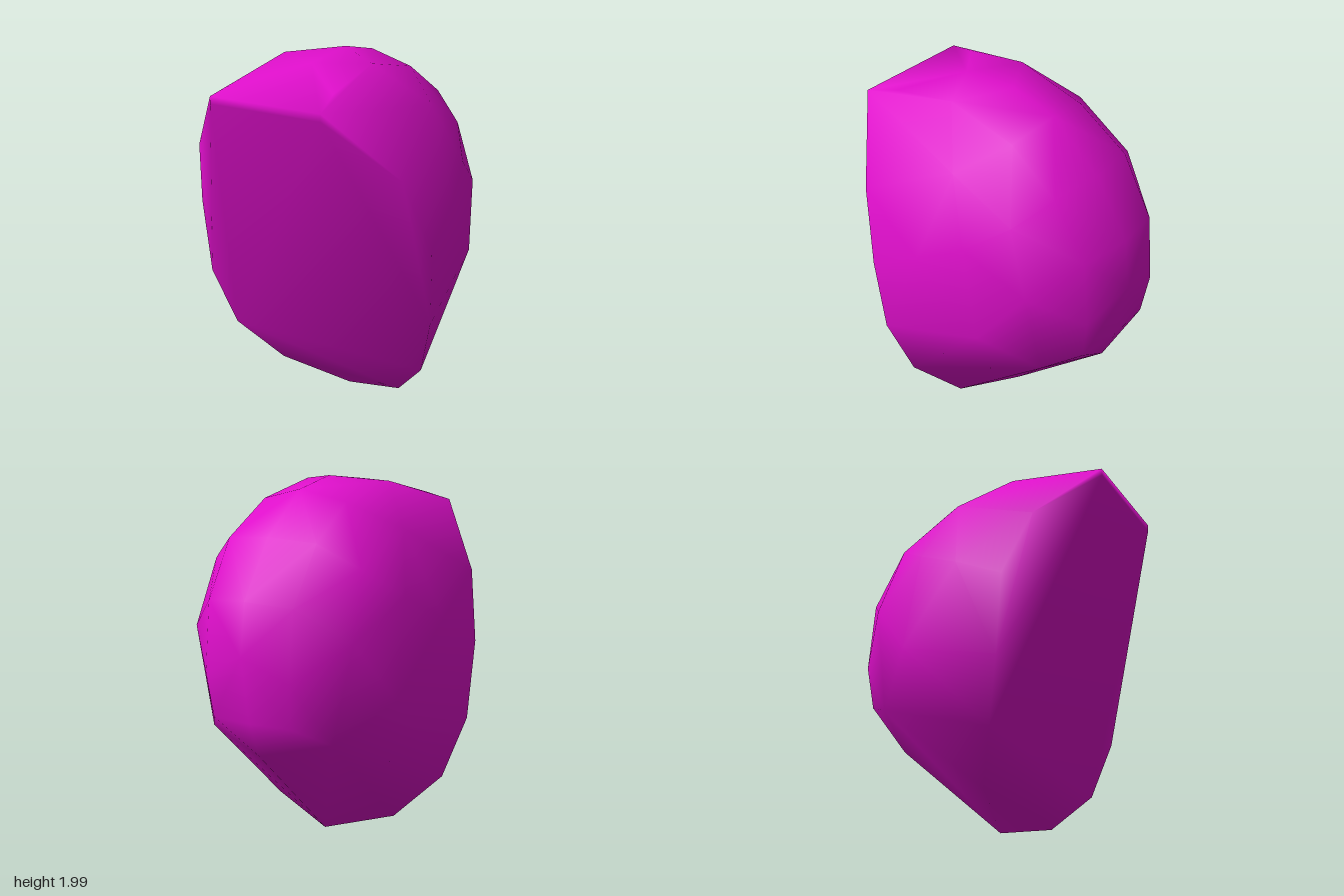
import * as THREE from 'three';
import { ConvexGeometry } from 'three/addons/geometries/ConvexGeometry.js';
import { mergeVertices } from 'three/addons/utils/BufferGeometryUtils.js';

// Cross-section rings of the shell, +x half only: [x, y, z]
const rings = [
  // Centre line, from the front peak over the crown to the chin point
  [[0, 1.97, 0.35], [0, 2.0, 0.02], [0, 1.94, -0.25], [0, 1.71, -0.54], [0, 1.4, -0.74],
    [0, 1.12, -0.775], [0, 0.95, -0.72], [0, 0.76, -0.71], [0, 0.57, -0.63], [0, 0.01, -0.02]],
  // Inner row beside the centre line
  [[0.285, 1.89, 0.59], [0.27, 1.97, 0.2], [0.265, 1.88, -0.21], [0.28, 1.69, -0.5],
    [0.27, 1.38, -0.69], [0.27, 1.0, -0.725], [0.25, 0.76, -0.69], [0.39, 0.66, -0.52]],
  // Outer row
  [[0.5, 1.74, -0.02], [0.47, 1.56, -0.38], [0.51, 1.2, -0.51], [0.62, 0.88, -0.27],
    [0.61, 1.41, -0.18], [0.69, 1.27, 0.08]],
  // Front rim
  [[0.33, 1.84, 0.77], [0.33, 1.8, 0.77], [0.63, 1.48, 0.5], [0.73, 1.11, 0.37],
    [0.71, 0.68, 0.33], [0.61, 0.35, 0.24], [0.39, 0.12, 0.09]],
];

export function createModel() {
  const group = new THREE.Group();
  group.name = 'shell';
  const magenta = new THREE.MeshStandardMaterial({ color: 0xe00fcc });
  magenta.name = 'magenta';

  // Mirror every off-centre point
  const points = [];
  for (const [x, y, z] of rings.flat()) {
    points.push(new THREE.Vector3(x, y, z));
    if (x > 0) points.push(new THREE.Vector3(-x, y, z));
  }

  // Faceted dome closed by the sloping front panel, with shared smooth normals
  let geometry = new ConvexGeometry(points);
  geometry.deleteAttribute('normal');
  geometry = mergeVertices(geometry, 1e-4);
  geometry.computeVertexNormals();

  const dome = new THREE.Mesh(geometry, magenta);
  dome.name = 'facetedDome';
  group.add(dome);
  return group;
}
